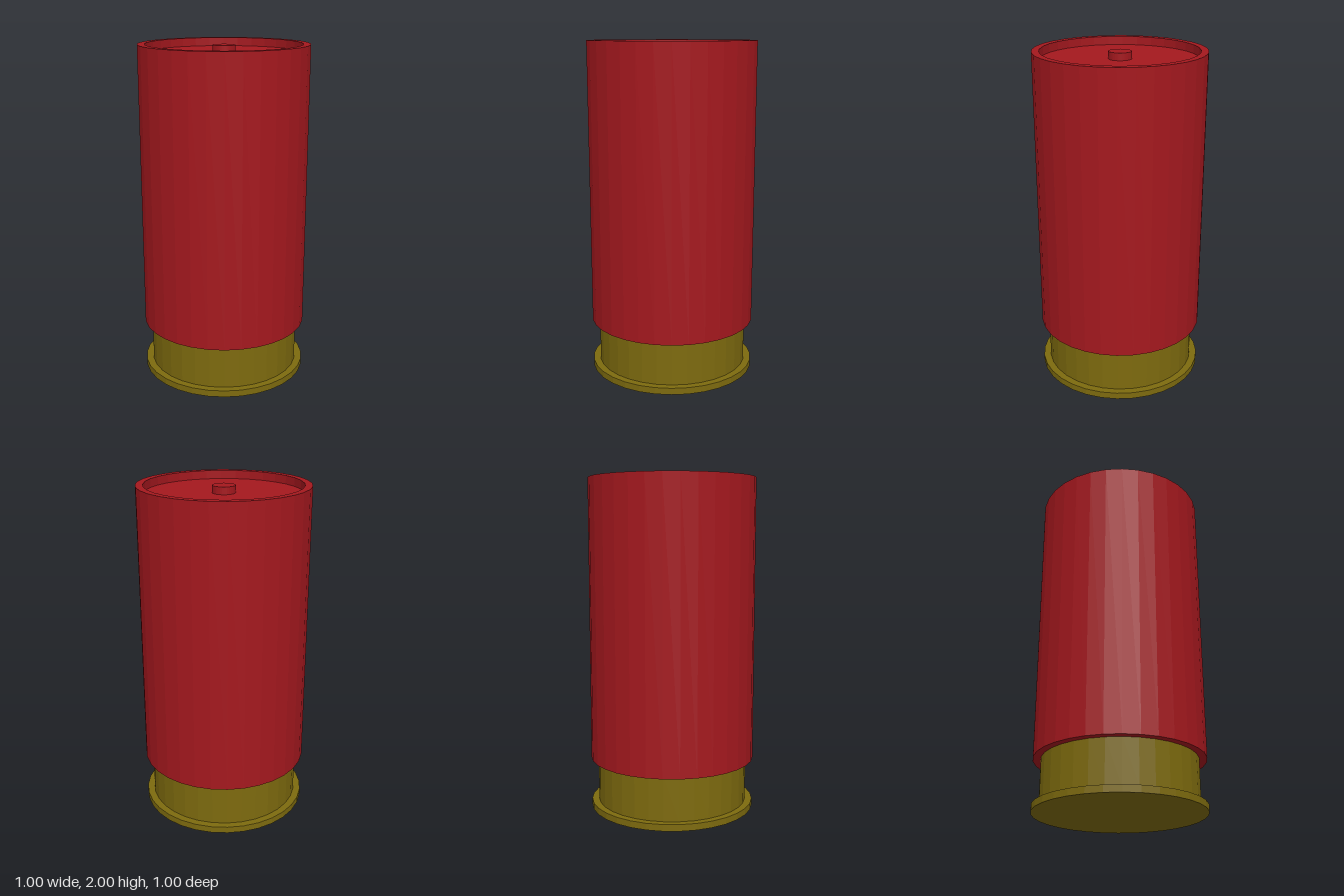
import * as THREE from 'three';

const SIDES = 32;

// Revolves a profile of [radius, height] pairs, listed from the bottom centre outwards and up.
function turned(name, profile, color) {
  const points = profile.map(([r, y]) => new THREE.Vector2(r, y));
  const material = new THREE.MeshStandardMaterial({ color, flatShading: true });
  const mesh = new THREE.Mesh(new THREE.LatheGeometry(points, SIDES), material);
  mesh.name = name;
  return mesh;
}

export function createModel() {
  const group = new THREE.Group();
  group.name = 'cartridge';
  const red = 0xa4181e, brass = 0x7d6a0e;

  // Brass head: flanged rim with a narrower neck rising into the hull
  group.add(turned('brassHead', [
    [0, 0], [0.498, 0], [0.498, 0.04], [0.455, 0.04], [0.455, 0.31],
  ], brass));

  // Red hull: overhangs the neck, with a shallow recess inside the top lip
  group.add(turned('hull', [
    [0.455, 0.305], [0.5, 0.305], [0.5, 2], [0.457, 2], [0.457, 1.95], [0, 1.95],
  ], red));

  // Small button in the middle of the recess
  group.add(turned('topButton', [
    [0.067, 1.95], [0.067, 1.993], [0, 1.993],
  ], red));

  return group;
}
